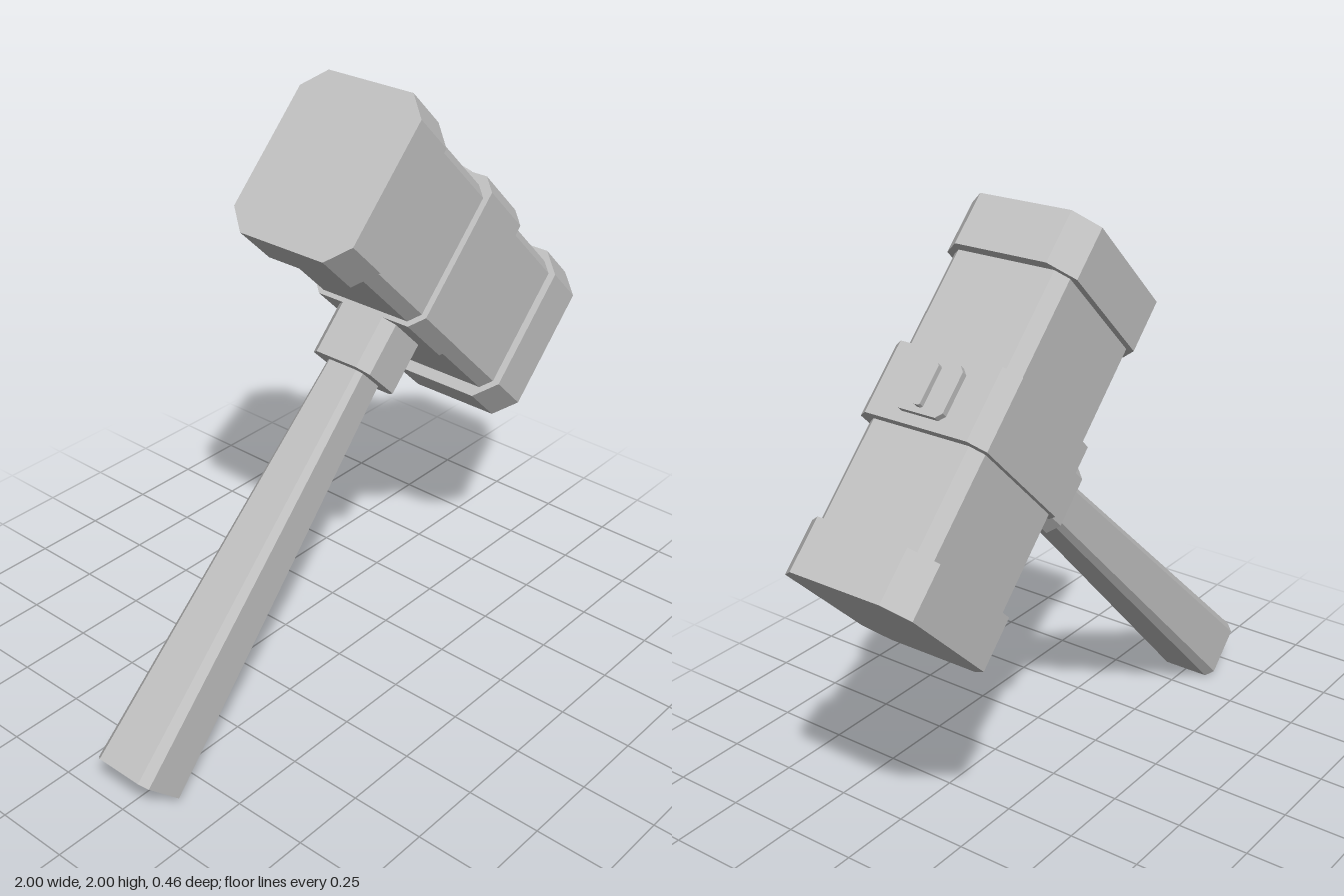
import * as THREE from 'three';

// Rectangle with cut corners, w by h
function chamferedRect(w, h, c) {
  const x = w / 2, y = h / 2;
  return new THREE.Shape([
    [x - c, -y], [x, -y + c], [x, y - c], [x - c, y],
    [-x + c, y], [-x, y - c], [-x, -y + c], [-x + c, -y],
  ].map(([a, b]) => new THREE.Vector2(a, b)));
}

function prism(w, h, c, depth) {
  return new THREE.ExtrudeGeometry(chamferedRect(w, h, c), { depth, bevelEnabled: false });
}

export function createModel() {
  const model = new THREE.Group();
  const hammer = new THREE.Group();
  hammer.name = 'hammer';
  hammer.position.set(0.37, 1.375, 0);
  hammer.rotation.z = -Math.PI / 4;
  model.add(hammer);

  const grey = new THREE.MeshStandardMaterial({ color: 0xc0c0c0 });
  grey.name = 'grey';

  function add(name, geometry) {
    const mesh = new THREE.Mesh(geometry, grey);
    mesh.name = name;
    hammer.add(mesh);
  }
  // Prism along the head (x), from x0 to x1
  function alongHead(name, width, y0, y1, c, x0, x1) {
    add(name, prism(width, y1 - y0, c, x1 - x0).rotateY(Math.PI / 2).translate(x0, (y0 + y1) / 2, 0));
  }
  // Prism along the handle (y), from y0 to y1; top is the size ratio at y1
  function alongHandle(name, w, d, c, y0, y1, top = 1) {
    const g = prism(w, d, c, y1 - y0).rotateX(-Math.PI / 2);
    const p = g.attributes.position;
    for (let i = 0; i < p.count; i++) {
      const s = 1 + (top - 1) * p.getY(i) / (y1 - y0);
      p.setXYZ(i, p.getX(i) * s, p.getY(i), p.getZ(i) * s);
    }
    g.translate(0, y0, 0);
    g.computeVertexNormals();
    add(name, g);
  }

  // Head: body, two striking caps and the middle strap
  alongHead('headBody', 0.41, -0.24, 0.24, 0.036, -0.5, 0.5);
  alongHead('leftCap', 0.46, -0.277, 0.277, 0.07, 0.438, 0.608);
  alongHead('rightCap', 0.46, -0.277, 0.277, 0.07, -0.608, -0.438);
  alongHead('strap', 0.45, -0.255, 0.274, 0.045, -0.115, 0.115);

  // Handle with its collar
  alongHandle('collar', 0.23, 0.23, 0.035, -0.43, -0.23);
  alongHandle('handle', 0.216, 0.22, 0.026, -1.834, -0.4, 0.64);

  // Buckle plate and its raised prong on top of the strap
  alongHandle('bucklePlate', 0.164, 0.166, 0.018, 0.26, 0.294);
  alongHandle('buckleProng', 0.13, 0.024, 0.005, 0.28, 0.312);

  return model;
}
